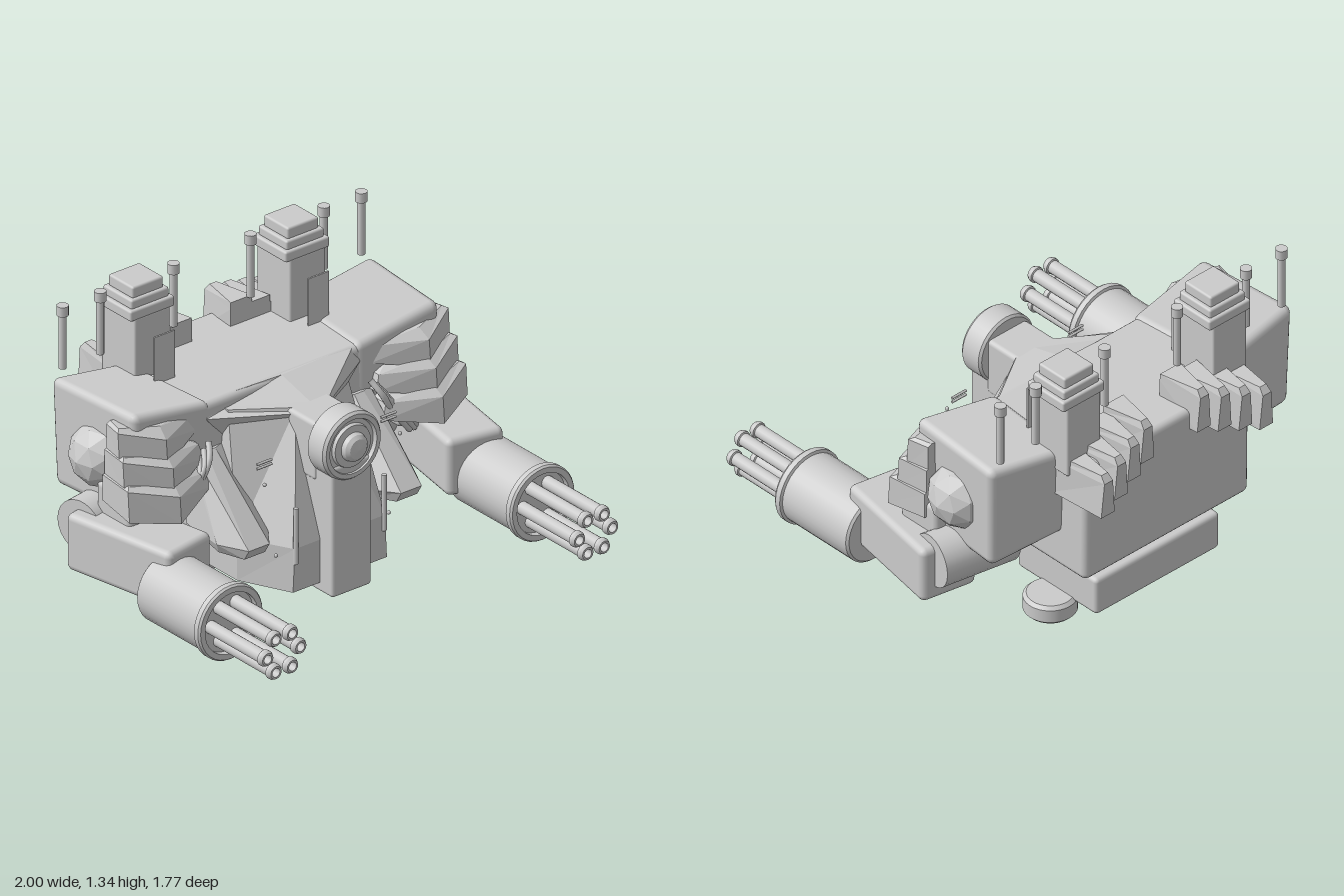
import * as THREE from 'three';
import { RoundedBoxGeometry } from 'three/addons/geometries/RoundedBoxGeometry.js';

const smooth = new THREE.MeshStandardMaterial({ color: 0xcccccc });
const flat = new THREE.MeshStandardMaterial({ color: 0xcccccc, flatShading: true });

function add(parent, name, geo, [x, y, z] = [0, 0, 0], mat = smooth) {
  const m = new THREE.Mesh(geo, mat);
  m.name = name;
  m.position.set(x, y, z);
  parent.add(m);
  return m;
}

const rbox = (w, h, d, r = 0.025) => new RoundedBoxGeometry(w, h, d, 2, r);

// Box given by its limits on each axis
function span(parent, name, x0, x1, y0, y1, z0, z1, r = 0.02) {
  const c = [(x0 + x1) / 2, (y0 + y1) / 2, (z0 + z1) / 2];
  return add(parent, name, rbox(x1 - x0, y1 - y0, z1 - z0, r), c);
}

function warp(geo, rule) {
  const p = geo.attributes.position, v = new THREE.Vector3();
  for (let i = 0; i < p.count; i++) {
    rule(v.fromBufferAttribute(p, i));
    p.setXYZ(i, v.x, v.y, v.z);
  }
  return geo;
}

// Faceted solid through rings of [x, y, z], bottom to top, counterclockwise from above
function loft(rings) {
  const n = rings[0].length, pos = rings.flat(2), idx = [];
  for (let r = 0; r < rings.length - 1; r++)
    for (let i = 0; i < n; i++) {
      const a = r * n + i, b = r * n + (i + 1) % n;
      idx.push(a, b, b + n, a, b + n, a + n);
    }
  const t = (rings.length - 1) * n;
  for (let i = 1; i < n - 1; i++) idx.push(0, i + 1, i, t, t + i, t + i + 1);
  let g = new THREE.BufferGeometry();
  g.setAttribute('position', new THREE.Float32BufferAttribute(pos, 3));
  g.setIndex(idx);
  g = g.toNonIndexed();
  g.computeVertexNormals();
  return g;
}

const ring = (y, pts) => pts.map(([x, z]) => [x, y, z]);

// Turned part around z; each profile point is [radius, z]
function turned(profile, segs = 32) {
  const pts = [];
  profile.forEach(([r, z], i) => {
    const p = new THREE.Vector2(r, z);
    pts.push(p);
    if (i && i < profile.length - 1) pts.push(p.clone()); // keeps the edges sharp
  });
  return new THREE.LatheGeometry(pts, segs).rotateX(Math.PI / 2);
}

function tube(parent, name, pts, r) {
  const curve = new THREE.CatmullRomCurve3(pts.map(p => new THREE.Vector3(...p)));
  return add(parent, name, new THREE.TubeGeometry(curve, 16, r, 8));
}

// Bakes a mirrored copy of a group across x = 0
function mirrored(group) {
  const out = new THREE.Group();
  group.updateMatrixWorld(true);
  group.traverse(m => {
    if (!m.isMesh) return;
    let g = m.geometry.clone().applyMatrix4(m.matrixWorld);
    if (g.index) g = g.toNonIndexed();
    g.applyMatrix4(new THREE.Matrix4().makeScale(-1, 1, 1));
    for (const a of Object.values(g.attributes))
      for (let i = 0; i < a.count; i += 3)
        for (let k = 0; k < a.itemSize; k++) {
          const t = a.getComponent(i + 1, k);
          a.setComponent(i + 1, k, a.getComponent(i + 2, k));
          a.setComponent(i + 2, k, t);
        }
    add(out, m.name, g, [0, 0, 0], m.material);
  });
  return out;
}

function thruster(parent, x) {
  const g = turned([[0, 0.03], [0.075, 0.03], [0.085, 0.005], [0.1, 0], [0.115, 0.015], [0.115, 0.075], [0.1, 0.09], [0, 0.09]]);
  add(parent, 'thruster', g.rotateX(-Math.PI / 2), [x, 0, -0.475]);
}

function gunArm(side) {
  const arm = new THREE.Group();
  arm.name = 'gunArm';
  side.add(arm);
  const elbow = new THREE.CylinderGeometry(0.12, 0.12, 0.36, 24).rotateZ(Math.PI / 2);
  add(arm, 'elbow', elbow, [0.75, 0.445, -0.365]).rotation.y = -0.18;
  add(arm, 'forearm', rbox(0.27, 0.265, 0.57, 0.03), [0.81, 0.392, -0.09]).rotation.y = -0.18;
  const drum = new THREE.Group();
  drum.position.set(0.83, 0.32, 0);
  arm.add(drum);
  add(drum, 'gunDrum', turned([[0, 0.11], [0.15, 0.11], [0.16, 0.12], [0.16, 0.5], [0.172, 0.505],
    [0.172, 0.53], [0.165, 0.54], [0.14, 0.54], [0.14, 0.51], [0, 0.51]]));
  for (let i = 0; i < 6; i++) {
    const a = i * Math.PI / 3;
    add(drum, 'gunBarrel', turned([[0.029, 0.48], [0.029, 0.855], [0.036, 0.858], [0.036, 0.872],
      [0.029, 0.885], [0.02, 0.885], [0.02, 0.7], [0, 0.7]], 16), [0.088 * Math.cos(a), 0.088 * Math.sin(a), 0]);
  }
}

function shoulder(side) {
  const box = warp(rbox(0.43, 0.46, 0.505, 0.035), v => {
    const k = 0.97 + 0.12 * v.y;
    v.y += 0.18 * v.x * (v.y + 0.22) / 0.44;
    v.x = v.x * k - 0.08 * v.z;
    v.z = v.z * k + 0.05 * v.x;
  });
  add(side, 'shoulder', box, [0.62, 0.737, -0.375]);
  add(side, 'shoulderDome', new THREE.IcosahedronGeometry(0.15, 1), [0.775, 0.73, -0.36], flat);
  // Overlapping pointed plates stepping forward and down
  for (let i = 0; i < 3; i++) {
    const y = 0.8 - i * 0.115, z = i * 0.045, w = i * 0.01;
    add(side, 'shoulderPlate', loft([
      [[0.70, y - 0.03, -0.035 + z], [0.88 + w, y, -0.13 + z], [0.86 + w, y + 0.02, -0.24], [0.46, y + 0.02, -0.24], [0.46, y + 0.02, -0.14 + z]],
      [[0.70, y + 0.09, -0.045 + z], [0.88 + w, y + 0.14, -0.14 + z], [0.86 + w, y + 0.14, -0.24], [0.48, y + 0.09, -0.24], [0.48, y + 0.09, -0.15 + z]],
      [[0.69, y + 0.13, -0.1 + z], [0.86 + w, y + 0.15, -0.16 + z], [0.84, y + 0.15, -0.24], [0.52, y + 0.11, -0.24], [0.52, y + 0.11, -0.17 + z]],
    ]));
  }
  add(side, 'shoulderLower', rbox(0.3, 0.16, 0.22), [0.72, 0.58, -0.19]);
  // Hoses from chest to arm
  for (let i = 0; i < 3; i++) {
    const d = i * 0.025;
    tube(side, 'hose', [[0.43 + d, 0.77 - d, -0.1], [0.46 + d, 0.71 - d, -0.06], [0.52 + d, 0.61, -0.06], [0.64 + d, 0.47, -0.1]], 0.014);
  }
}

function tower(side) {
  const steps = [[0.19, 0.86, 1.21, 0.22], [0.235, 1.2, 1.25, 0.22], [0.2, 1.245, 1.29, 0.19], [0.165, 1.285, 1.34, 0.16]];
  for (const [w, y0, y1, d] of steps)
    span(side, 'tower', 0.413 - w / 2, 0.413 + w / 2, y0, y1, -0.595 - d / 2, -0.595 + d / 2, 0.01);
  span(side, 'towerShield', 0.355, 0.465, 0.88, 1.14, -0.42, -0.41, 0.003);
  for (const x of [0.205, 0.595, 0.795]) {
    add(side, 'antennaRod', new THREE.CylinderGeometry(0.017, 0.017, 0.26, 12), [x, 1.16, -0.605]);
    add(side, 'antennaCap', new THREE.CylinderGeometry(0.026, 0.026, 0.045, 12), [x, 1.3, -0.605]);
  }
  // Back fins: narrow ridge over a wider foot, stepping down outwards
  for (let i = 0; i < 4; i++) {
    const x = 0.16 + i * 0.096, top = 1.03 - i * 0.032, tip = -0.82 - i * 0.023;
    const plan = (front, rear, z) => [[x + front, -0.61], [x + rear, z], [x - rear, z], [x - front, -0.61]];
    add(side, 'backFin', loft([
      ring(top - 0.2, plan(0.058, 0.038, tip + 0.005)),
      ring(top - 0.03, plan(0.058, 0.024, tip)),
      ring(top, plan(0.056, 0.018, tip + 0.025)),
    ]));
  }
}

function skirt(side) {
  // Broad leaning hip plate, narrow at the top
  add(side, 'hipPlate', loft([
    ring(0.34, [[0.46, 0.17], [0.5, 0.05], [0.46, -0.14], [0.28, -0.14], [0.28, 0.05], [0.35, 0.17]]),
    ring(0.39, [[0.46, 0.2], [0.525, 0.07], [0.5, -0.16], [0.28, -0.16], [0.255, 0.07], [0.35, 0.2]]),
    ring(0.71, [[0.42, -0.13], [0.47, -0.15], [0.47, -0.18], [0.31, -0.18], [0.31, -0.15], [0.37, -0.13]]),
  ]));
  add(side, 'chestRod', new THREE.CylinderGeometry(0.011, 0.011, 0.26, 8), [0.235, 0.4, 0.23]);
  for (const y of [0.72, 0.74])
    add(side, 'chestPin', new THREE.CylinderGeometry(0.006, 0.006, 0.08, 8).rotateZ(Math.PI / 2), [0.33, y, 0.14]);
  for (const [x, y] of [[0.3, 0.31], [0.25, 0.33], [0.36, 0.66]])
    add(side, 'bolt', new THREE.SphereGeometry(0.009, 8, 6), [x, y, 0.18]);
}

export function createModel() {
  const model = new THREE.Group();
  model.name = 'hoverMachine';

  // Hull, its back leaning slightly
  const hull = warp(rbox(0.93, 0.59, 0.63, 0.03), v => { v.z *= 0.99 + 0.04 * v.y; });
  add(model, 'hull', hull, [0, 0.625, -0.457]);
  span(model, 'belly', -0.35, 0.35, 0.07, 0.25, -0.71, -0.23, 0.02);
  [-0.39, 0, 0.39].forEach(x => thruster(model, x));

  // Chest: a pointed prow sloping down from the hull, over a flared lower part
  add(model, 'chest', loft([
    ring(0.14, [[0.25, 0.23], [0.36, 0.0], [0.36, -0.2], [-0.36, -0.2], [-0.36, 0.0], [-0.25, 0.23]]),
    ring(0.34, [[0.24, 0.23], [0.36, 0.0], [0.36, -0.2], [-0.36, -0.2], [-0.36, 0.0], [-0.24, 0.23]]),
    ring(0.87, [[0.08, 0.04], [0.31, -0.12], [0.31, -0.2], [-0.31, -0.2], [-0.31, -0.12], [-0.08, 0.04]]),
  ]));
  add(model, 'prow', loft([
    ring(0.72, [[0, 0.08], [0.3, -0.15], [0.32, -0.22], [-0.32, -0.22], [-0.3, -0.15]]),
    ring(0.85, [[0, 0.11], [0.41, -0.14], [0.41, -0.22], [-0.41, -0.22], [-0.41, -0.14]]),
    ring(0.918, [[0, -0.15], [0.4, -0.17], [0.4, -0.22], [-0.4, -0.22], [-0.4, -0.17]]),
  ]));
  span(model, 'keel', -0.105, 0.105, 0.095, 0.7, -0.055, 0.31, 0.015);
  span(model, 'sensorNeck', -0.11, 0.11, 0.6, 0.87, -0.1, 0.21);
  add(model, 'sensor', turned([[0, 0.2], [0.145, 0.2], [0.155, 0.21], [0.155, 0.305], [0.145, 0.318], [0.125, 0.318],
    [0.12, 0.3], [0.1, 0.3], [0.095, 0.315], [0.065, 0.318], [0.06, 0.338], [0.045, 0.352], [0, 0.36]], 40), [0, 0.775, 0]);

  // Left side, then its mirror
  const left = new THREE.Group();
  left.name = 'leftSide';
  shoulder(left);
  gunArm(left);
  tower(left);
  skirt(left);
  const right = mirrored(left);
  right.name = 'rightSide';
  model.add(left, right);
  return model;
}
